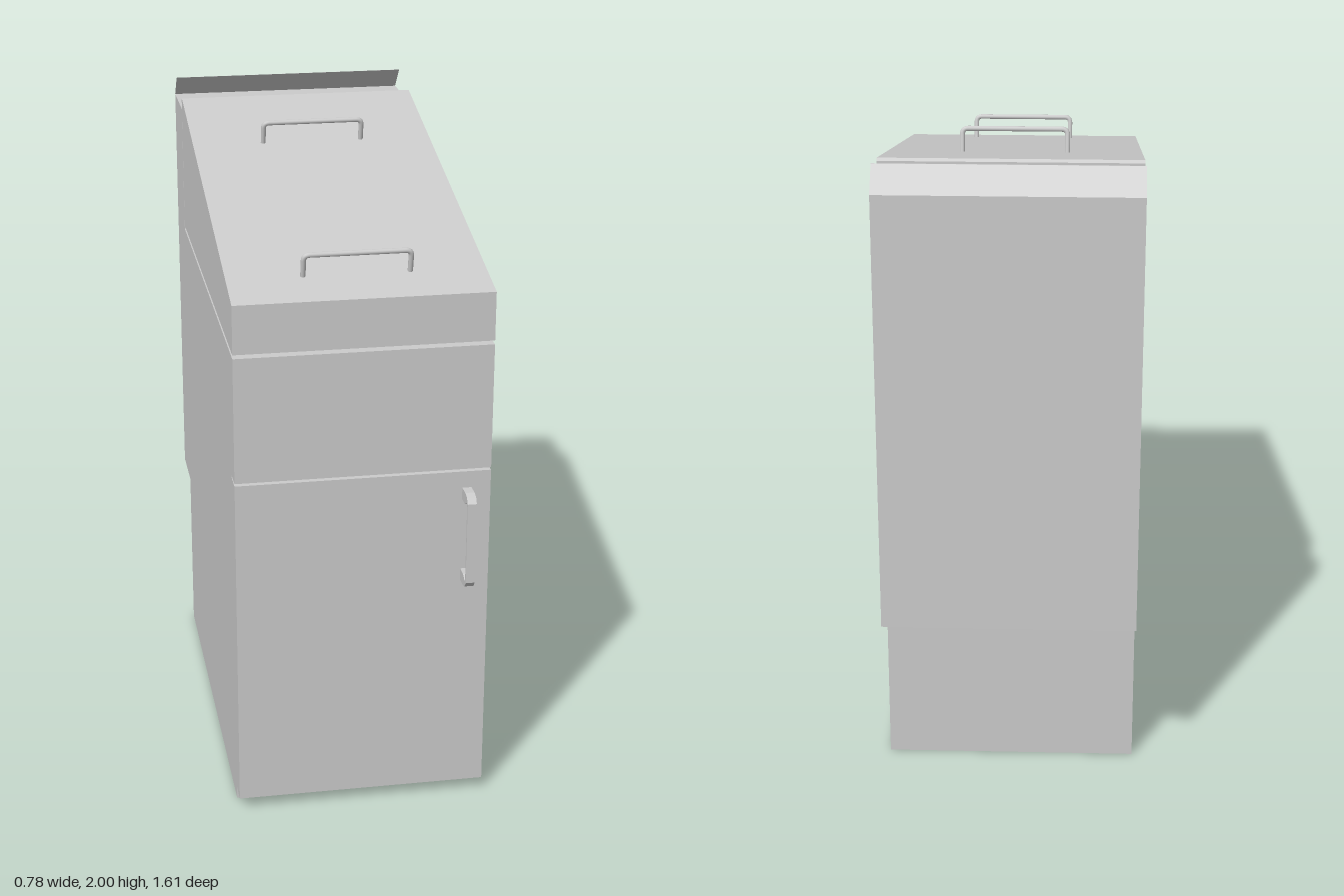
import * as THREE from 'three';

const WIDTH = 0.776;
const material = new THREE.MeshStandardMaterial({ color: 0xcccccc, side: THREE.DoubleSide });

// Extrude a side profile of [z, y] points across x, centred on x = 0
function sideExtrude(name, points, width) {
  const shape = new THREE.Shape(points.map(([z, y]) => new THREE.Vector2(z, y)));
  const geometry = new THREE.ExtrudeGeometry(shape, { depth: width, bevelEnabled: false });
  geometry.rotateY(-Math.PI / 2).translate(width / 2, 0, 0);
  const mesh = new THREE.Mesh(geometry, material);
  mesh.name = name;
  return mesh;
}

// Round bar handle: two legs joined by a bar with rounded corners
function lidHandle(name) {
  const half = 0.16, height = 0.07, r = 0.018;
  const v = (x, y) => new THREE.Vector3(x, y, 0);
  const path = new THREE.CurvePath();
  path.add(new THREE.LineCurve3(v(-half, -0.005), v(-half, height - r)));
  path.add(new THREE.QuadraticBezierCurve3(v(-half, height - r), v(-half, height), v(-half + r, height)));
  path.add(new THREE.LineCurve3(v(-half + r, height), v(half - r, height)));
  path.add(new THREE.QuadraticBezierCurve3(v(half - r, height), v(half, height), v(half, height - r)));
  path.add(new THREE.LineCurve3(v(half, height - r), v(half, -0.005)));
  const mesh = new THREE.Mesh(new THREE.TubeGeometry(path, 96, 0.008, 10), material);
  mesh.name = name;
  return mesh;
}

export function createModel() {
  const model = new THREE.Group();
  model.name = 'fryerCabinet';

  // Cabinet with toe recess, door gap, lid seat and raised rear flue box
  model.add(sideExtrude('cabinet', [
    [0.66, 0], [0.66, 0.04], [0.73, 0.04],
    [0.73, 1.108], [0.66, 1.108], [0.66, 1.116], [0.73, 1.116],
    [0.73, 1.508], [-0.584, 1.508], [-0.584, 1.928],
    [-0.803, 1.928], [-0.803, 0.555], [-0.615, 0.555], [-0.615, 0],
  ], WIDTH));

  // Sloping lid
  const frontTop = [0.73, 1.67], backTop = [-0.568, 1.967];
  model.add(sideExtrude('lid', [
    [0.73, 1.52], frontTop, backTop, [-0.578, 1.96], [-0.578, 1.52],
  ], WIDTH));

  // Lid handles, standing square to the slope
  const rise = (backTop[1] - frontTop[1]) / (frontTop[0] - backTop[0]);
  [['frontLidHandle', 0.59], ['rearLidHandle', -0.235]].forEach(([name, z]) => {
    const handle = lidHandle(name);
    handle.position.set(0, frontTop[1] + (frontTop[0] - z) * rise, z);
    handle.rotation.x = Math.atan(rise);
    model.add(handle);
  });

  // Thin deflector leaning forward over the flue
  model.add(sideExtrude('flueDeflector', [
    [-0.803, 1.928], [-0.736, 2], [-0.738, 2], [-0.805, 1.928],
  ], WIDTH));

  // Door handle: mirrored legs around its mid height
  const mid = 0.902;
  const upper = [
    [0.797, 0.125], [0.79, 0.128], [0.768, 0.116], [0.73, 0.116],
    [0.73, 0.153], [0.77, 0.153], [0.792, 0.147], [0.805, 0.13],
  ];
  const lower = upper.map(([z, y]) => [z, -y]).reverse();
  const doorHandle = sideExtrude('doorHandle',
    [...upper, ...lower].map(([z, y]) => [z, mid + y]), 0.028);
  doorHandle.position.x = 0.315;
  model.add(doorHandle);

  return model;
}
